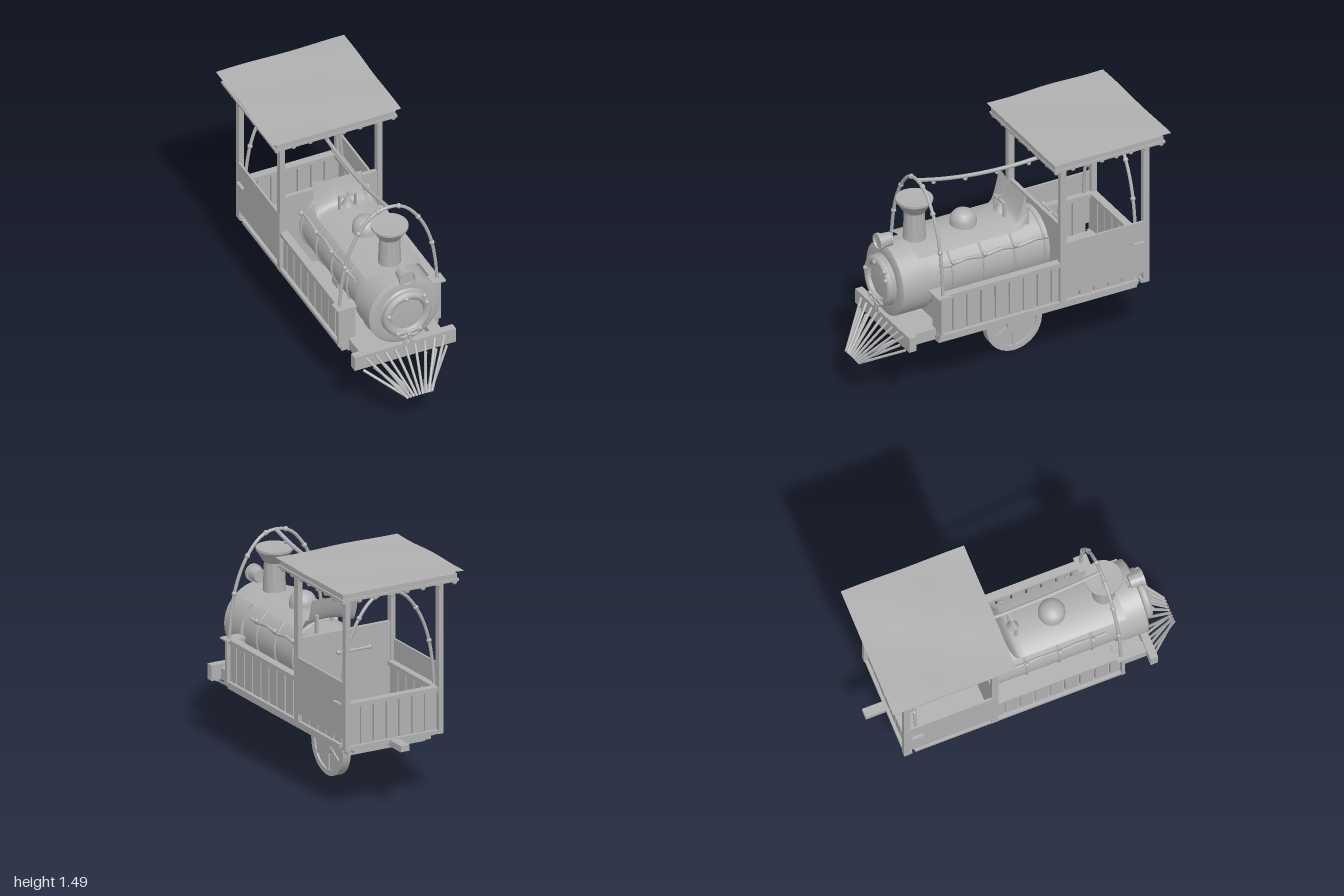
import * as THREE from 'three';
import { toCreasedNormals } from 'three/addons/utils/BufferGeometryUtils.js';

export function createModel() {
  const root = new THREE.Group();
  const grey = new THREE.MeshStandardMaterial({ color: 0xb0b0b0, side: THREE.DoubleSide });
  grey.name = 'grey';
  const V = (x, y, z) => new THREE.Vector3(x, y, z);

  const add = (name, geo, x = 0, y = 0, z = 0) => {
    const m = new THREE.Mesh(geo, grey);
    m.name = name;
    m.position.set(x, y, z);
    root.add(m);
    return m;
  };
  // box given by its extents on each axis
  const box = (name, x0, x1, y0, y1, z0, z1) =>
    add(name, new THREE.BoxGeometry(x1 - x0, y1 - y0, z1 - z0), (x0 + x1) / 2, (y0 + y1) / 2, (z0 + z1) / 2);
  // the same box on both sides
  const pair = (name, x0, x1, ...r) => { box(name, x0, x1, ...r); box(name, -x1, -x0, ...r); };
  const ball = (name, p, r) => add(name, new THREE.SphereGeometry(r, 12, 8), p.x, p.y, p.z);
  const rod = (name, a, b, r) => {
    const m = add(name, new THREE.CylinderGeometry(r, r, a.distanceTo(b), 8));
    m.position.lerpVectors(a, b, 0.5);
    m.quaternion.setFromUnitVectors(V(0, 1, 0), b.clone().sub(a).normalize());
    return m;
  };
  const tube = (name, pts, r) =>
    add(name, new THREE.TubeGeometry(new THREE.CatmullRomCurve3(pts), 40, r, 8));
  const lathe = (name, pts, x, y, z) =>
    add(name, toCreasedNormals(new THREE.LatheGeometry(pts.map(p => new THREE.Vector2(...p)), 40), 0.6), x, y, z);

  // chassis and buffers
  box('lowerChassis', -0.27, 0.27, 0.365, 0.40, -0.78, 0.545);
  box('deck', -0.325, 0.325, 0.40, 0.43, -0.80, 0.57);
  pair('frontBeam', 0.2, 0.275, 0.40, 0.475, 0.56, 0.74);
  box('frontFloor', -0.2, 0.2, 0.40, 0.43, 0.56, 0.74);
  box('frontBumper', -0.34, 0.34, 0.40, 0.50, 0.735, 0.785);
  box('rearBumper', -0.27, 0.27, 0.40, 0.455, -0.85, -0.80);
  box('rearCoupler', -0.03, 0.03, 0.41, 0.45, -1, -0.84);

  // cowcatcher
  for (let i = -4; i <= 4; i++)
    rod('cowcatcherBar', V(i * 0.066, 0.475, 0.785), V(i * 0.02, 0.25, 0.992), 0.009);
  for (const s of [-1, 1]) for (let i = 0; i < 3; i++)
    rod('cowcatcherBrace', V(s * (0.28 - i * 0.07), 0.385, 0.78), V(s * (0.075 - i * 0.02), 0.248, 0.985), 0.009);

  // single spoked wheel
  const wheel = new THREE.Group();
  wheel.name = 'wheel';
  wheel.position.set(0, 0.19, -0.115);
  root.add(wheel);
  const rimShape = new THREE.Shape().absarc(0, 0, 0.19, 0, Math.PI * 2);
  rimShape.holes.push(new THREE.Path().absarc(0, 0, 0.155, 0, Math.PI * 2, true));
  const rimGeo = new THREE.ExtrudeGeometry(rimShape, { depth: 0.056, bevelEnabled: false, curveSegments: 32 });
  rimGeo.translate(0, 0, -0.028).rotateY(Math.PI / 2);
  const wheelPart = (name, geo) => {
    const m = new THREE.Mesh(toCreasedNormals(geo, 0.6), grey);
    m.name = name;
    wheel.add(m);
    return m;
  };
  wheelPart('wheelRim', rimGeo);
  wheelPart('wheelDisc', new THREE.CylinderGeometry(0.16, 0.16, 0.03, 40).rotateZ(Math.PI / 2));
  wheelPart('wheelHub', new THREE.CylinderGeometry(0.05, 0.05, 0.076, 24).rotateZ(Math.PI / 2));
  for (let i = 0; i < 3; i++)
    wheelPart('wheelSpoke', new THREE.BoxGeometry(0.05, 0.32, 0.022)).rotation.x = i * Math.PI / 3;

  // boiler, smokebox and bands
  const BY = 0.743;
  lathe('boiler', [[0, -0.26], [0.213, -0.26], [0.213, 0.6], [0, 0.6]], 0, BY, 0).rotation.x = Math.PI / 2;
  lathe('smokebox', [[0.2, 0.57], [0.235, 0.57], [0.235, 0.765], [0.215, 0.775], [0.165, 0.775],
    [0.155, 0.79], [0.115, 0.80], [0.11, 0.805], [0, 0.81]], 0, BY, 0).rotation.x = Math.PI / 2;
  const bandZ = [0.41, 0.195, -0.02, -0.23];
  for (const z of bandZ) add('boilerBand', new THREE.TorusGeometry(0.215, 0.008, 8, 40), 0, BY, z);
  for (const z of [0.45, 0.0]) box('boilerSaddle', -0.1, 0.1, 0.42, 0.56, z - 0.04, z + 0.04);

  // blanket over the boiler with its rear edge turned up
  const blanket = new THREE.PlaneGeometry(1, 1, 24, 24);
  const bp = blanket.attributes.position;
  for (let i = 0; i < bp.count; i++) {
    const x = bp.getX(i) * 0.38, v = bp.getY(i) + 0.5;
    const base = 0.983 - 1.15 * x * x;
    const top = x < -0.06 ? 1.13 - (x + 0.06) * 0.3 : x < 0.156 ? 1.14 : 1.02;
    const t = Math.max(0, (v - 0.75) / 0.25);
    bp.setXYZ(i, x, base + (top - base) * t ** 1.4, v < 0.75 ? 0.635 - v / 0.75 * 0.69 : -0.055 - 0.075 * t ** 0.8);
  }
  blanket.computeVertexNormals();
  add('boilerBlanket', blanket);

  // chimney, dome, headlamp
  lathe('chimney', [[0, 0.95], [0.072, 0.95], [0.064, 1.165], [0.07, 1.17], [0.11, 1.235], [0.115, 1.24],
    [0.115, 1.255], [0.1, 1.255], [0, 1.245]], 0, 0, 0.563);
  lathe('steamDome', [[0.083, 0.94], [0.083, 1.01], [0.077, 1.035], [0.06, 1.058], [0.035, 1.071], [0, 1.076]], 0, 0, 0.225);
  lathe('headlamp', [[0, 0.73], [0.042, 0.73], [0.047, 0.8], [0.055, 0.8], [0.055, 0.822], [0.043, 0.822],
    [0.04, 0.81], [0, 0.81]], 0, 1.015, 0).rotation.x = Math.PI / 2;
  box('headlampBracket', -0.025, 0.025, 0.96, 1.0, 0.72, 0.765);

  // bell in its frame
  lathe('bell', [[0, 1.06], [0.015, 1.057], [0.022, 1.03], [0.04, 1.0], [0, 1.0]], 0, 0, -0.03);
  pair('bellPost', 0.048, 0.06, 0.95, 1.075, -0.04, -0.02);
  box('bellCrossbar', -0.06, 0.06, 1.065, 1.077, -0.04, -0.02);
  rod('bellStem', V(0, 1.05, -0.03), V(0, 1.1, -0.03), 0.008);
  box('gaugePost', 0.11, 0.13, 0.93, 1.05, -0.16, -0.14);

  // wreath with berries and bow
  add('wreath', new THREE.TorusGeometry(0.135, 0.027, 12, 40), 0, BY, 0.805);
  for (const [x, y] of [[-0.015, 0.87], [0.107, 0.86], [-0.13, 0.77], [0.125, 0.805], [-0.07, 0.625], [0.075, 0.625], [0, 0.605]])
    ball('wreathBerry', V(x, y, 0.828), 0.017);
  for (const s of [-1, 1]) {
    const loop = add('bowLoop', new THREE.TorusGeometry(0.025, 0.009, 8, 20), s * 0.035, 0.61, 0.83);
    loop.scale.set(1.3, 0.7, 1);
    const tail = add('bowTail', new THREE.BoxGeometry(0.018, 0.075, 0.006), s * 0.016, 0.567, 0.825);
    tail.rotation.z = s * 0.25;
  }

  // slatted body sides and back
  const pitch = 0.0975;
  for (let z = 0.5225; z > -0.84; z -= pitch) pair('sideSlat', 0.30, 0.32, 0.43, 0.715, z - 0.0425, z + 0.0425);
  pair('sideTopRail', 0.29, 0.342, 0.703, 0.73, -0.86, 0.57);
  pair('sideBottomRail', 0.29, 0.342, 0.43, 0.455, -0.80, 0.57);
  pair('frontBoard', 0.23, 0.345, 0.43, 0.705, 0.545, 0.565);
  for (let i = -3; i <= 3; i++) box('rearSlat', i * 0.09 - 0.04, i * 0.09 + 0.04, 0.43, 0.715, -0.85, -0.83);
  box('rearTopRail', -0.342, 0.342, 0.703, 0.73, -0.87, -0.82);
  box('rearBottomRail', -0.342, 0.342, 0.43, 0.455, -0.87, -0.82);
  pair('frontCapPlate', 0.23, 0.365, 0.72, 0.73, 0.51, 0.595);
  pair('rearCapPlate', 0.29, 0.365, 0.722, 0.73, -0.83, -0.755);

  // cab
  box('cabFloor', -0.3, 0.3, 0.43, 0.47, -0.83, -0.28);
  box('cabBulkhead', -0.312, 0.312, 0.43, 0.982, -0.295, -0.27);
  pair('cabSidePanel', 0.332, 0.346, 0.505, 0.865, -0.87, -0.26);
  pair('cabFrontPost', 0.311, 0.344, 0.43, 1.42, -0.302, -0.26);
  pair('cabRearPost', 0.311, 0.344, 0.43, 1.42, -0.875, -0.835);
  rod('throttleStem', V(0, 0.86, -0.28), V(0, 0.88, -0.39), 0.008);
  rod('throttleBar', V(-0.11, 0.88, -0.39), V(0.11, 0.88, -0.39), 0.009);
  for (const s of [-1, 1]) ball('throttleKnob', V(s * 0.11, 0.882, -0.39), 0.014);

  // roof with a thin rippled cover
  box('roofSlab', -0.4, 0.4, 1.433, 1.466, -0.94, -0.19);
  box('roofTrim', -0.41, 0.41, 1.418, 1.434, -0.95, -0.185);
  const cover = new THREE.PlaneGeometry(0.86, 0.805, 24, 24).rotateX(-Math.PI / 2);
  const cp = cover.attributes.position;
  for (let i = 0; i < cp.count; i++) {
    const x = cp.getX(i), z = cp.getZ(i);
    cp.setY(i, 0.004 * Math.sin(x * 9 + z * 5) + 0.003 * Math.sin(z * 13 - x * 4));
  }
  cover.computeVertexNormals();
  add('roofCover', cover, 0, 1.488, -0.5775);

  // bulbs around the roof edge
  for (let i = 0; i < 8; i++) {
    const x = -0.39 + i * 0.1115, z = -0.21 - i * 0.1;
    for (const e of [-0.205, -0.93]) ball('roofBulb', V(x, 1.41, e), 0.016);
    if (i > 0 && i < 7) for (const s of [-1, 1]) ball('roofBulb', V(s * 0.39, 1.41, z - 0.01), 0.016);
  }

  // garland arches, swag between them, and boiler side garlands
  const half = [[0.328, 0.72], [0.315, 0.87], [0.292, 1.01], [0.255, 1.13], [0.2, 1.237], [0.13, 1.325], [0.07, 1.363]];
  for (const z of [0.545, -0.79]) {
    const pts = [...half.map(([x, y]) => V(-x, y, z)), V(0, 1.375, z), ...half.slice().reverse().map(([x, y]) => V(x, y, z))];
    tube('garlandArch', pts, 0.011);
    for (const i of [2, 4, 6, 8, 10, 12]) ball('archBulb', pts[i], 0.017);
  }
  const swagY = z => 1.285 + 0.088 * ((z + 0.12) / 0.67) ** 2;
  const swag = [];
  for (let i = 0; i <= 8; i++) { const z = 0.545 - i * 0.1669; swag.push(V(0, swagY(z), z)); }
  tube('garlandSwag', swag, 0.013);
  for (const z of [0.43, 0.21, -0.01, -0.23, -0.45, -0.67]) ball('swagBulb', V(0, swagY(z) - 0.018, z), 0.014);
  for (const s of [-1, 1]) {
    const pts = [];
    for (let i = 0; i <= 12; i++) pts.push(V(s * 0.2, 0.85 - 0.008 * Math.sin(i * Math.PI / 2), 0.5 - i * 0.061));
    tube('sideGarland', pts, 0.011);
    for (const z of bandZ) ball('sideBulb', V(s * 0.215, 0.863, z), 0.016);
  }
  return root;
}
